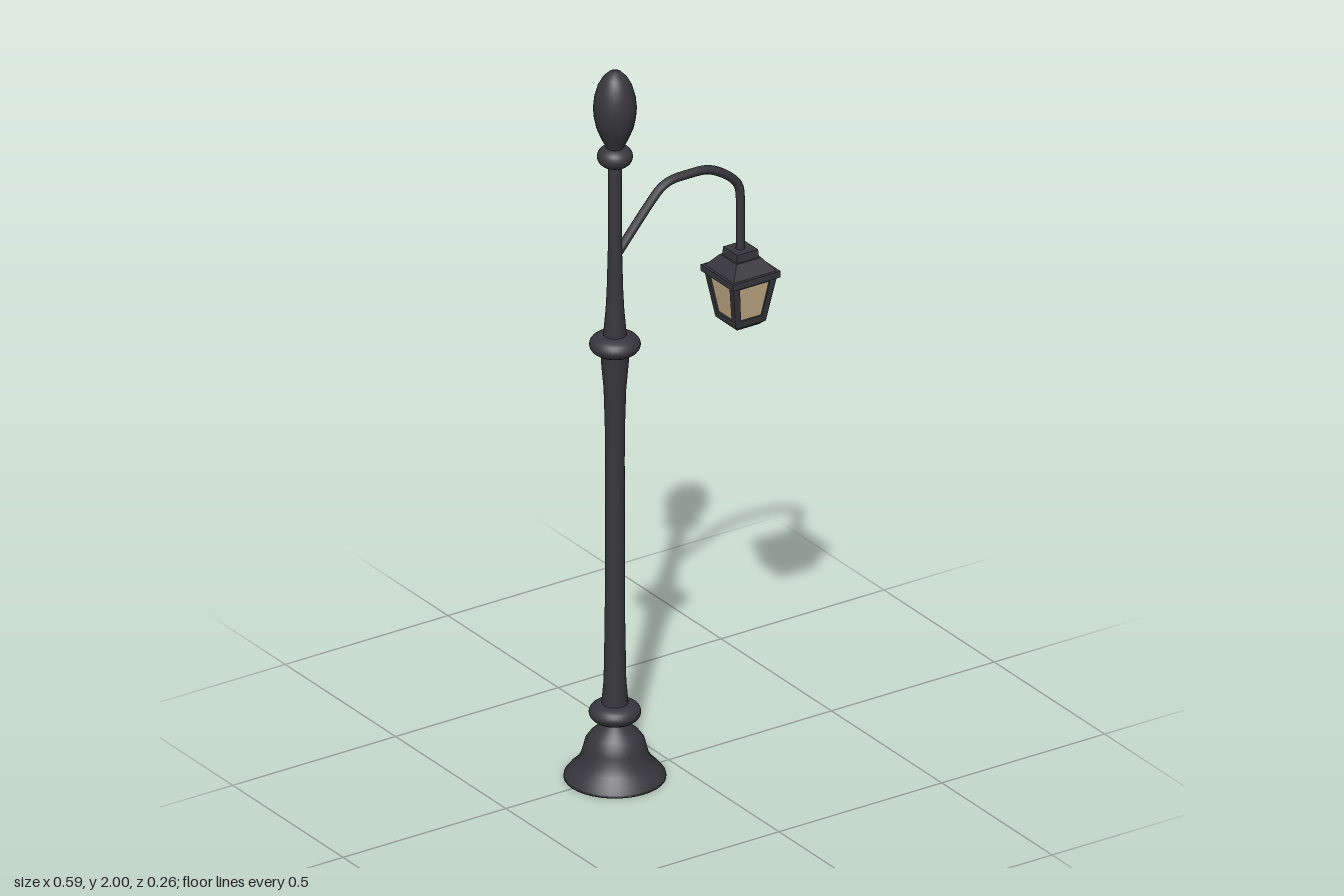
import * as THREE from 'three';

const iron = new THREE.MeshStandardMaterial({ color: 0x37373d });
iron.name = 'dark iron';
const glass = new THREE.MeshStandardMaterial({ color: 0xcdb48e });
glass.name = 'warm glass';

const POLE_X = -0.165, LAMP_X = 0.221;

function add(parent, name, geometry, material) {
  const mesh = new THREE.Mesh(geometry, material);
  mesh.name = name;
  parent.add(mesh);
  return mesh;
}

// Turned part from [radius, height] pairs
function turned(parent, name, profile) {
  const points = profile.map(([r, y]) => new THREE.Vector2(r, y));
  return add(parent, name, new THREE.LatheGeometry(points, 36), iron);
}

// Rounded ring with a half-oval section
function collar(parent, name, y, inner, outer, halfHeight) {
  const profile = [];
  for (let i = 0; i <= 10; i++) {
    const a = -Math.PI / 2 + (Math.PI * i) / 10;
    profile.push([inner + (outer - inner) * Math.cos(a), y + halfHeight * Math.sin(a)]);
  }
  return turned(parent, name, profile);
}

// Square tapered block with flat faces, sizes as half widths
function squareBlock(parent, name, y0, half0, y1, half1) {
  const g = new THREE.CylinderGeometry(half1 * Math.SQRT2, half0 * Math.SQRT2, y1 - y0, 4)
    .rotateY(Math.PI / 4).translate(0, (y0 + y1) / 2, 0).toNonIndexed();
  g.computeVertexNormals();
  return add(parent, name, g, iron);
}

// Four-cornered outline, wider at the top
function trapezoid(Type, y0, half0, y1, half1) {
  const s = new Type();
  s.moveTo(-half0, y0);
  s.lineTo(half0, y0);
  s.lineTo(half1, y1);
  s.lineTo(-half1, y1);
  s.closePath();
  return s;
}

export function createModel() {
  const model = new THREE.Group();
  model.name = 'streetLamp';

  // Post
  const post = new THREE.Group();
  post.name = 'post';
  post.position.x = POLE_X;
  model.add(post);
  turned(post, 'base', [
    [0, 0], [0.131, 0], [0.13, 0.008], [0.117, 0.024], [0.1, 0.04], [0.088, 0.06],
    [0.081, 0.085], [0.076, 0.105], [0.064, 0.122], [0.05, 0.135], [0.038, 0.15], [0.032, 0.17],
  ]);
  collar(post, 'lowerCollar', 0.183, 0.03, 0.067, 0.026);
  turned(post, 'lowerShaft', [
    [0.034, 0.165], [0.034, 0.215], [0.029, 0.27], [0.026, 0.45], [0.025, 0.9],
    [0.026, 1.0], [0.029, 1.1], [0.036, 1.18], [0.036, 1.22],
  ]);
  collar(post, 'middleCollar', 1.225, 0.028, 0.066, 0.027);
  turned(post, 'upperShaft', [
    [0.03, 1.22], [0.029, 1.265], [0.024, 1.32], [0.021, 1.38], [0.018, 1.5], [0.018, 1.74],
  ]);
  collar(post, 'upperCollar', 1.757, 0.018, 0.046, 0.027);
  turned(post, 'finial', [
    [0.018, 1.765], [0.023, 1.785], [0.036, 1.81], [0.048, 1.84], [0.054, 1.87], [0.056, 1.895],
    [0.053, 1.925], [0.044, 1.957], [0.031, 1.98], [0.016, 1.995], [0, 2],
  ]);

  // Curved arm
  const armPoints = [
    [-0.163, 1.472], [-0.05, 1.603], [-0.025, 1.627], [0.005, 1.641], [0.06, 1.644], [0.115, 1.641],
    [0.15, 1.627], [0.195, 1.595], [0.215, 1.568], [0.22, 1.535], [0.22, 1.38],
  ].map(([x, y]) => new THREE.Vector3(x, y, 0));
  const armPath = new THREE.CatmullRomCurve3(armPoints, false, 'centripetal');
  add(model, 'arm', new THREE.TubeGeometry(armPath, 48, 0.012, 10), iron);

  // Lantern
  const lantern = new THREE.Group();
  lantern.name = 'lantern';
  lantern.position.x = LAMP_X;
  model.add(lantern);
  squareBlock(lantern, 'cap', 1.365, 0.034, 1.39, 0.032);
  squareBlock(lantern, 'roof', 1.333, 0.066, 1.368, 0.038);
  squareBlock(lantern, 'eave', 1.316, 0.073, 1.334, 0.073);
  squareBlock(lantern, 'floor', 1.19, 0.046, 1.203, 0.048);
  squareBlock(lantern, 'underside', 1.179, 0.034, 1.19, 0.045);

  // Four leaning sides, each a frame with a recessed pane
  const y0 = 1.195, y1 = 1.32, half0 = 0.047, half1 = 0.067;
  const lean = Math.atan2(half1 - half0, y1 - y0);
  const slope = Math.hypot(half1 - half0, y1 - y0);
  const frameShape = trapezoid(THREE.Shape, 0, half0, slope, half1);
  frameShape.holes.push(trapezoid(THREE.Path, 0.015, 0.032, slope - 0.011, 0.046));
  const frame = new THREE.ExtrudeGeometry(frameShape, { depth: 0.008, bevelEnabled: false })
    .translate(0, 0, -0.008);
  const pane = new THREE.ExtrudeGeometry(
    trapezoid(THREE.Shape, 0.012, 0.034, slope - 0.008, 0.049), { depth: 0.003, bevelEnabled: false })
    .translate(0, 0, -0.0075);
  for (let i = 0; i < 4; i++) {
    const side = new THREE.Group();
    side.name = 'lanternSide';
    side.rotation.y = (i * Math.PI) / 2;
    lantern.add(side);
    for (const [name, geometry, material] of [['frame', frame, iron], ['pane', pane, glass]]) {
      const mesh = add(side, name, geometry, material);
      mesh.position.set(0, y0, half0);
      mesh.rotation.x = lean;
    }
  }
  return model;
}
